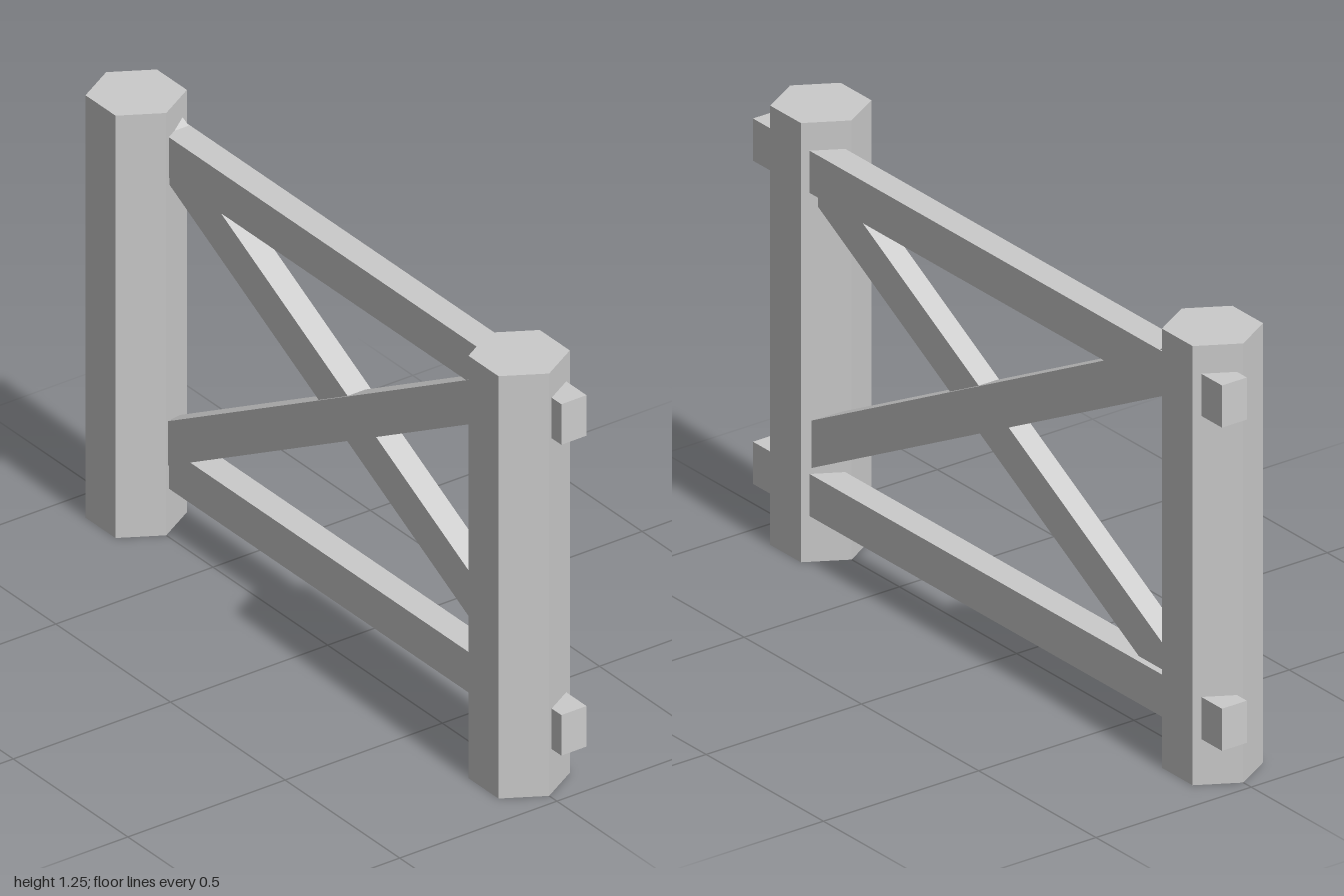
import * as THREE from 'three';

const material = new THREE.MeshStandardMaterial({ color: 0xcccccc, flatShading: true });

// A beam running along z, spanning x0..x1, optionally tilted about x
function beam(name, x0, x1, y, height, length, tilt = 0) {
  const mesh = new THREE.Mesh(new THREE.BoxGeometry(x1 - x0, height, length), material);
  mesh.name = name;
  mesh.position.set((x0 + x1) / 2, y, 0);
  mesh.rotation.x = tilt;
  return mesh;
}

export function createModel() {
  const fence = new THREE.Group();
  fence.name = 'fenceSection';

  // Hexagonal posts, corners pointing along z
  for (const [name, z] of [['frontPost', 0.835], ['backPost', -0.835]]) {
    const post = new THREE.Mesh(new THREE.CylinderGeometry(0.131, 0.131, 1.25, 6), material);
    post.name = name;
    post.position.set(0, 0.625, z);
    fence.add(post);
  }

  // Horizontal rails passing through both posts
  fence.add(beam('lowerRail', 0.014, 0.094, 0.19, 0.12, 2));
  fence.add(beam('upperRail', 0.014, 0.094, 1.11, 0.12, 2));

  // Crossed diagonal braces, ends buried in the posts
  const rising = Math.atan(0.517);
  const falling = Math.atan(0.555);
  fence.add(beam('outerBrace', 0.018, 0.09, 0.725, 0.12, 1.68 / Math.cos(rising), rising));
  fence.add(beam('innerBrace', 0.01, 0.075, 0.66, 0.115, 1.66 / Math.cos(falling), -falling));

  return fence;
}
